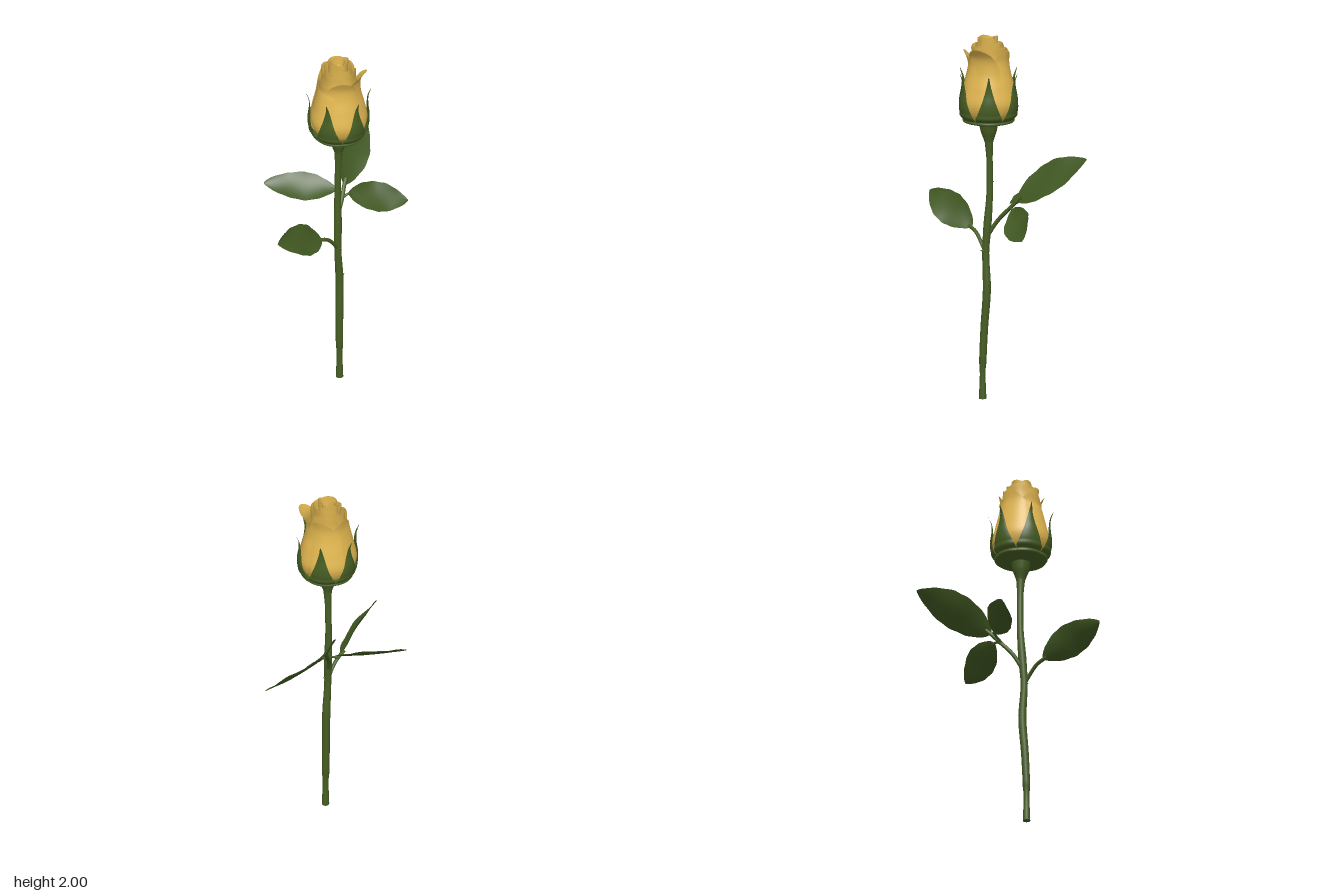
import * as THREE from 'three';
import { ParametricGeometry } from 'three/addons/geometries/ParametricGeometry.js';

const V = (x, y, z) => new THREE.Vector3(x, y, z);
const CENTRE = V(0.1, 0, -0.025); // axis of the bloom
const DEG = Math.PI / 180;

function material(name, color) {
  const m = new THREE.MeshStandardMaterial({ color, side: THREE.DoubleSide });
  m.name = name;
  return m;
}

export function createModel() {
  const rose = new THREE.Group();
  rose.name = 'rose';
  const stemGreen = material('stem green', 0x475e24);
  const leafGreen = material('leaf green', 0x415822);
  const gold = material('petal gold', 0xe2b750);

  const add = (name, geometry, mat, parent = rose) => {
    const mesh = new THREE.Mesh(geometry, mat);
    mesh.name = name;
    parent.add(mesh);
    return mesh;
  };
  const group = (name) => {
    const g = new THREE.Group();
    g.name = name;
    rose.add(g);
    return g;
  };

  // Stem: gently bent, swelling into the receptacle; rows are x, y, z, radius
  const rows = [
    [0.128, 0, -0.01, 0.02], [0.127, 0.2, -0.01, 0.02], [0.12, 0.4, -0.015, 0.021],
    [0.11, 0.6, -0.024, 0.022], [0.11, 0.8, -0.012, 0.019], [0.103, 0.95, -0.018, 0.022],
    [0.093, 1.12, -0.024, 0.018], [0.094, 1.3, -0.026, 0.017], [0.098, 1.41, -0.026, 0.023],
    [0.099, 1.47, -0.025, 0.043], [0.1, 1.53, -0.025, 0.056],
  ];
  const axis = new THREE.CatmullRomCurve3(rows.map(([x, y, z]) => V(x, y, z)));
  const girth = new THREE.CatmullRomCurve3(rows.map((r) => V(r[3], 0, 0)));
  add('stem', new ParametricGeometry((u, v, p) => {
    const r = girth.getPoint(v).x, a = u * Math.PI * 2;
    p.copy(axis.getPoint(v)).add(V(Math.sin(a) * r, 0, Math.cos(a) * r));
  }, 16, 60), stemGreen);
  const cut = add('stemEnd', new THREE.CircleGeometry(0.02, 16), stemGreen);
  cut.rotation.x = Math.PI / 2;
  cut.position.set(0.128, 0, -0.01);

  // Thorns: position and outward direction
  const thorns = group('thorns');
  for (const [pos, dir] of [
    [V(0.132, 0.815, -0.012), V(1, 0.2, 0)],
    [V(0.11, 0.625, -0.045), V(0, 0.4, -1)],
    [V(0.078, 1.19, -0.025), V(-1, 0.3, 0)],
  ]) {
    const thorn = add('thorn', new THREE.ConeGeometry(0.009, 0.028, 8), stemGreen, thorns);
    thorn.position.copy(pos);
    thorn.quaternion.setFromUnitVectors(V(0, 1, 0), dir.normalize());
  }

  // Leaf stalks
  const stalks = group('leafStalks');
  const stalk = (r, ...pts) =>
    add('leafStalk', new THREE.TubeGeometry(new THREE.CatmullRomCurve3(pts), 16, r, 8), stemGreen, stalks);
  stalk(0.011, V(0.1, 0.9, -0.02), V(0.062, 0.98, -0.055), V(0.025, 1.05, -0.11), V(0, 1.09, -0.14), V(-0.02, 1.125, -0.17));
  stalk(0.007, V(0.025, 1.045, -0.11), V(0.03, 1.06, -0.14), V(0.033, 1.056, -0.17));
  stalk(0.007, V(0.03, 1.045, -0.1), V(-0.01, 1.07, -0.105), V(-0.05, 1.08, -0.09));
  stalk(0.01, V(0.11, 0.8, -0.012), V(0.118, 0.85, 0.02), V(0.122, 0.9, 0.07), V(0.128, 0.925, 0.135));

  // Leaves: cupped along the midrib and arched, with a slightly uneven edge
  const leaves = group('leaves');
  const leaf = (name, base, tip, width, arch) => {
    const d = tip.clone().sub(base);
    const n = d.clone().cross(width).normalize();
    add(name, new ParametricGeometry((u, v, p) => {
      const side = 2 * u - 1;
      const bulge = Math.pow(Math.max(0, Math.sin(Math.PI * Math.pow(v, 0.92))), 0.75);
      const outline = 0.02 + 0.98 * bulge * (1 + 0.02 * Math.sin(v * 31 + side));
      const lift = arch * Math.sin(Math.PI * v) + 0.014 * side * side * outline
        + 0.004 * side * Math.sin(v * 12);
      p.copy(base).addScaledVector(d, v)
        .addScaledVector(width, side * 0.5 * outline).addScaledVector(n, lift);
    }, 10, 40), leafGreen, leaves);
  };
  leaf('endLeaflet', V(-0.005, 1.1, -0.145), V(-0.26, 1.36, -0.455), V(-0.06, 0.13, 0.155), 0.012);
  leaf('rightLeaflet', V(0.025, 1.06, -0.15), V(0.15, 0.955, -0.46), V(-0.1, 0.112, -0.075), -0.012);
  leaf('leftLeaflet', V(-0.02, 1.08, -0.105), V(-0.288, 1.1, 0.18), V(0.095, -0.095, 0.088), -0.008);
  leaf('frontLeaf', V(0.123, 0.92, 0.11), V(0.185, 1.06, 0.457), V(0.115, -0.13, 0.029), 0.012);

  // Point around the bloom axis
  const around = (p, r, y, a) => p.set(CENTRE.x + Math.sin(a) * r, y, CENTRE.z + Math.cos(a) * r);

  // Sepals: six, joined below in a cup; points are radius, height, half angle
  const sepalCurve = new THREE.CatmullRomCurve3([
    V(0.045, 1.515, 30.5), V(0.1, 1.522, 30.5), V(0.139, 1.55, 29.5), V(0.158, 1.592, 23),
    V(0.163, 1.65, 14.5), V(0.157, 1.71, 8), V(0.161, 1.765, 3), V(0.177, 1.805, 0.6),
  ]);
  const calyx = group('calyx');
  for (let i = 0; i < 6; i++) {
    add('sepal', new ParametricGeometry((u, v, p) => {
      const c = sepalCurve.getPoint(v), s = 2 * u - 1;
      const ridge = 0.005 * (1 - s * s) * v * (1 - v) * 4;
      around(p, c.x + ridge, c.y, (90 + i * 60 + s * c.z) * DEG);
    }, 8, 32), stemGreen, calyx);
  }

  // Petals: overlapping in a spiral, each swept along a bud profile
  const bloom = group('bloom');
  const petal = (angle, span, belly, rim, top, flare, drop, skew) => {
    const curve = new THREE.CatmullRomCurve3([
      V(belly * 0.5, 1.535, 0), V(belly * 0.83, 1.565, 0), V(belly, 1.63, 0),
      V(belly * 0.66 + rim * 0.34, 1.72, 0), V(belly * 0.2 + rim * 0.8, 1.81, 0),
      V(rim + flare * 0.25, top - 0.06, 0), V(rim + flare, top, 0),
    ]);
    add('petal', new ParametricGeometry((u, v, p) => {
      const s = 2 * u - 1;
      const c = curve.getPoint(v * (1 - drop * Math.pow(Math.abs(s), 1.7)));
      const wave = 0.003 * Math.sin(s * 5 + angle) * v;
      around(p, c.x + skew * s + wave, c.y, (angle + s * span / 2) * DEG);
    }, 20, 28), gold, bloom);
  };
  // outer petals: angle, top height, flare
  for (const [a, top, flare] of [[125, 1.95, 0.05], [202, 1.93, 0.012], [274, 1.92, 0.008], [346, 1.9, 0.01], [62, 1.925, 0.03]])
    petal(a, 112, 0.152, 0.106, top, flare, 0.3, 0.006);
  // inner rings: count, first angle, span, belly, rim, top height, edge drop
  for (const [count, first, span, belly, rim, top, drop] of [
    [4, 20, 125, 0.138, 0.089, 1.945, 0.1],
    [3, 75, 150, 0.12, 0.07, 1.965, 0.07],
    [3, 10, 150, 0.095, 0.05, 1.993, 0.05],
    [2, 50, 215, 0.07, 0.032, 1.985, 0.04],
  ])
    for (let i = 0; i < count; i++)
      petal(first + i * 360 / count, span, belly, rim, top + 0.006 * (i % 2), 0.004, drop, 0.006);

  // Closed heart of the bud
  const heart = add('heart', new THREE.SphereGeometry(0.03, 16, 12), gold, bloom);
  heart.scale.y = 2;
  heart.position.set(CENTRE.x, 1.91, CENTRE.z);

  return rose;
}
